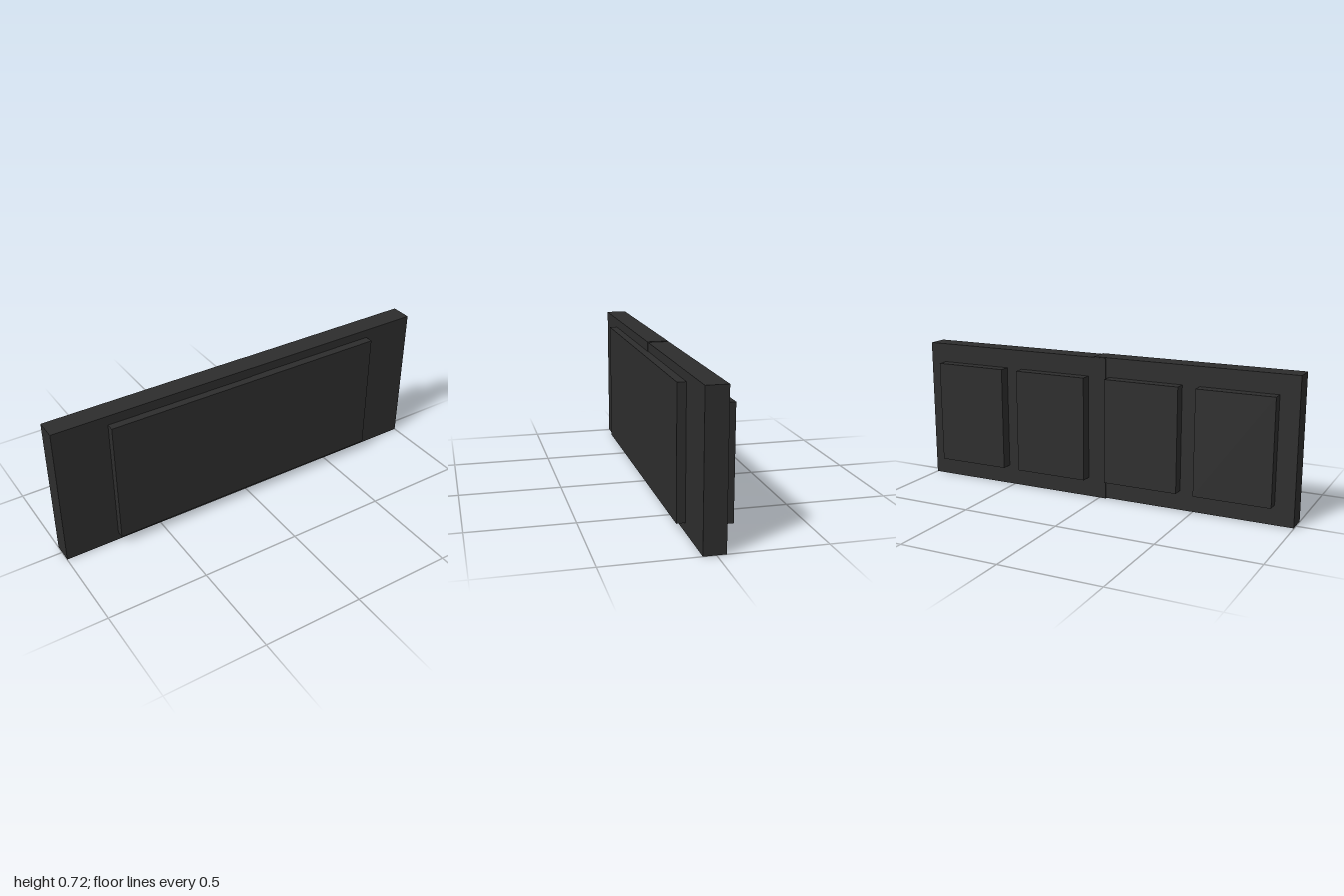
import * as THREE from 'three';

export function createModel() {
  const model = new THREE.Group();
  const charcoal = new THREE.MeshStandardMaterial({ color: 0x2d2d2d });
  charcoal.name = 'charcoal';

  // Box given by its minimum and maximum corners
  function block(name, parent, [x0, y0, z0], [x1, y1, z1]) {
    const mesh = new THREE.Mesh(new THREE.BoxGeometry(x1 - x0, y1 - y0, z1 - z0), charcoal);
    mesh.position.set((x0 + x1) / 2, (y0 + y1) / 2, (z0 + z1) / 2);
    mesh.name = name;
    parent.add(mesh);
  }

  // Two overlapping half panels, slightly out of line, each with two pads on its back
  const halves = [
    { name: 'rightHalf', x: [-1, 0.03], y: [0.003, 0.72], z: [-0.041, 0.062], padX: [-0.905, -0.435], padZ: -0.097 },
    { name: 'leftHalf', x: [-0.035, 1], y: [0, 0.717], z: [-0.044, 0.059], padX: [0.06, 0.53], padZ: -0.1 },
  ];
  for (const h of halves) {
    const half = new THREE.Group();
    half.name = h.name;
    model.add(half);
    block('panel', half, [h.x[0], h.y[0], h.z[0]], [h.x[1], h.y[1], h.z[1]]);
    for (const x of h.padX) {
      block('backPad', half, [x, h.y[0] + 0.098, h.padZ], [x + 0.383, h.y[0] + 0.621, h.z[0] + 0.01]);
    }
  }

  // Wide raised plate across the front
  block('frontPlate', model, [-0.73, 0.045, 0.05], [0.73, 0.673, 0.1]);

  return model;
}
